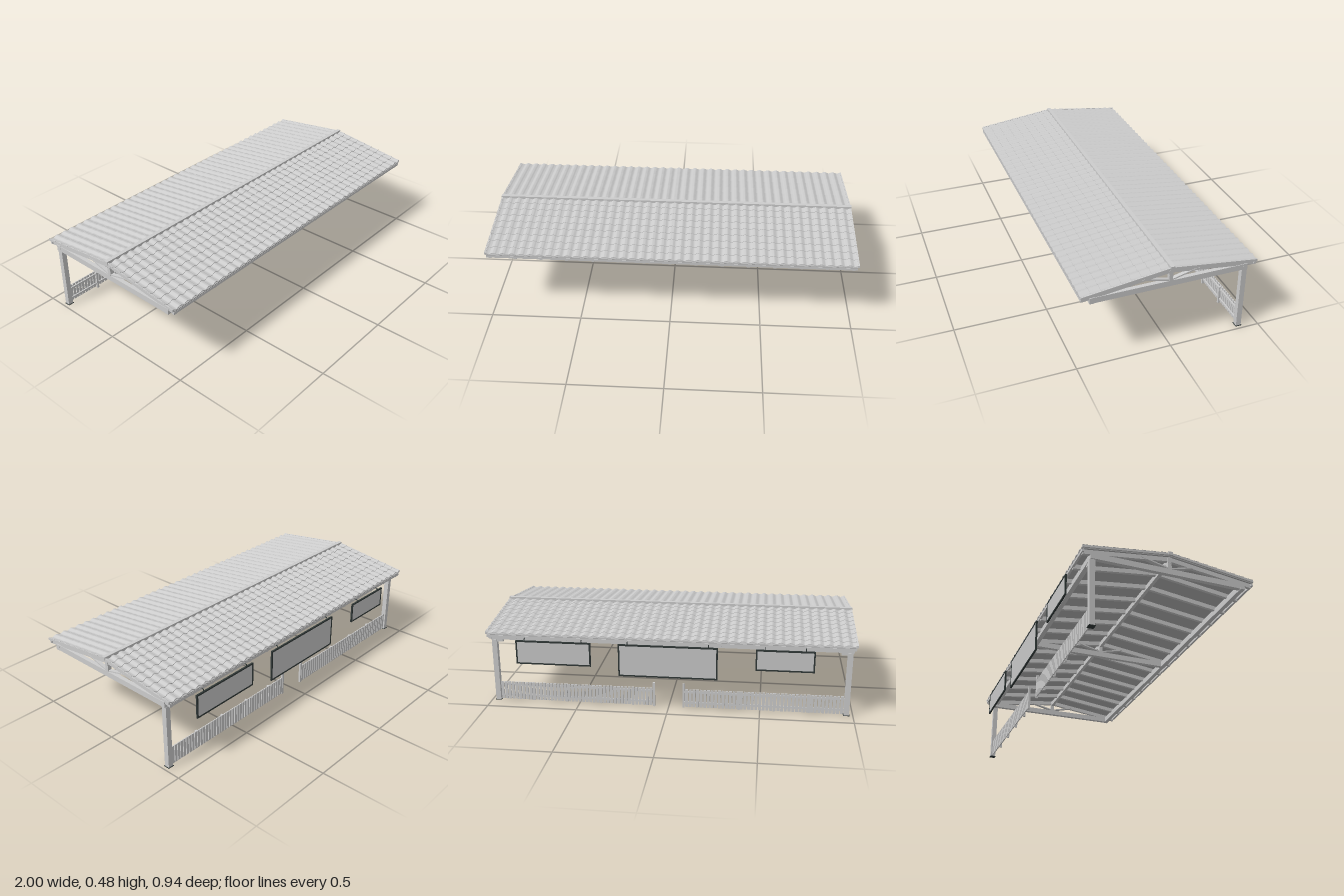
import * as THREE from 'three';
import { toCreasedNormals } from 'three/addons/utils/BufferGeometryUtils.js';

const mat = (name, color, side = THREE.FrontSide) => {
  const m = new THREE.MeshStandardMaterial({ color, side });
  m.name = name;
  return m;
};

const RIDGE_Z = 0.008, RIDGE_Y = 0.479, SLOPE = 0.13, RUN = 0.462;
const roofY = (d) => RIDGE_Y - SLOPE * d; // top of the roof at distance d from the ridge

export function createModel() {
  const root = new THREE.Group();
  root.name = 'roofedShelter';
  const timber = mat('timberGrey', 0xcccccc);
  const tile = mat('tileGrey', 0xcccccc, THREE.DoubleSide);
  const panel = mat('panelGrey', 0xc8c8c8);
  const sheet = mat('underlayGrey', 0xb4b4b4);
  const dark = mat('darkMetal', 0x303837);

  const group = (name, parent = root) => {
    const g = new THREE.Group();
    g.name = name;
    parent.add(g);
    return g;
  };
  // Box given by its limits on each axis
  const box = (parent, name, m, x0, x1, y0, y1, z0, z1) => {
    const mesh = new THREE.Mesh(new THREE.BoxGeometry(x1 - x0, y1 - y0, z1 - z0), m);
    mesh.position.set((x0 + x1) / 2, (y0 + y1) / 2, (z0 + z1) / 2);
    mesh.name = name;
    parent.add(mesh);
  };
  // Prism across x, cut from a side outline of [z, y] points
  const prism = (parent, name, m, pts, x, width) => {
    const shape = new THREE.Shape(pts.map(([z, y]) => new THREE.Vector2(-z, y)));
    const geo = new THREE.ExtrudeGeometry(shape, { depth: width, bevelEnabled: false });
    geo.rotateY(Math.PI / 2);
    geo.translate(x - width / 2, 0, 0);
    const mesh = new THREE.Mesh(geo, m);
    mesh.name = name;
    parent.add(mesh);
  };
  // Sloping layer on one side of the roof, between two depths below the roof top
  const layer = (parent, name, m, side, x, width, top, bottom, end = RUN) => {
    const z = RIDGE_Z + side * end;
    prism(parent, name, m, [
      [RIDGE_Z, roofY(0) - top], [z, roofY(end) - top],
      [z, roofY(end) - bottom], [RIDGE_Z, roofY(0) - bottom],
    ], x, width);
  };

  // Wavy tiles in overlapping courses
  const tiles = (side) => {
    const COURSES = 9, COLS = 40, SEG = 8, n = COLS * SEG;
    const pos = [], idx = [];
    for (let c = 0; c < COURSES; c++) {
      const d0 = (c / COURSES) * RUN, d1 = ((c + 1) / COURSES) * RUN;
      const base = pos.length / 3;
      // upper edge, raised lower edge, foot of the riser
      for (const [d, drop] of [[d0, 0.007], [d1, 0.004], [d1, 0.0085]]) {
        for (let i = 0; i <= n; i++) {
          const wave = 0.0045 * Math.cos((i / SEG) * Math.PI * 2);
          pos.push(-0.998 + (1.996 * i) / n, roofY(d) - drop + wave, RIDGE_Z + side * d);
        }
      }
      for (let r = 0; r < 2; r++) for (let i = 0; i < n; i++) {
        const a = base + r * (n + 1) + i, b = a + n + 1;
        if (side > 0) idx.push(a, b, b + 1, a, b + 1, a + 1);
        else idx.push(a, b + 1, b, a, a + 1, b + 1);
      }
    }
    const geo = new THREE.BufferGeometry();
    geo.setAttribute('position', new THREE.Float32BufferAttribute(pos, 3));
    geo.setIndex(idx);
    const mesh = new THREE.Mesh(toCreasedNormals(geo, 0.9), tile);
    mesh.name = side > 0 ? 'frontTiles' : 'backTiles';
    return mesh;
  };

  // Roof
  const roof = group('roof');
  for (const s of [1, -1]) {
    roof.add(tiles(s));
    layer(roof, 'underlay', sheet, s, 0, 1.98, 0.014, 0.018);
    for (const x of [-0.994, 0.994]) layer(roof, 'vergeBoard', timber, s, x, 0.008, 0.002, 0.014);
    for (let i = 0; i <= 14; i++) {
      layer(roof, 'rafter', timber, s, -0.973 + i * 0.139, 0.016, 0.018, 0.042, 0.456);
    }
    const z = RIDGE_Z + s * 0.456;
    box(roof, 'eavesBoard', timber, -0.99, 0.99, 0.386, 0.4, z - 0.006, z + 0.006);
  }
  box(roof, 'ridgeCap', timber, -1, 1, 0.464, 0.483, RIDGE_Z - 0.011, RIDGE_Z + 0.011);
  box(roof, 'ridgeBeam', timber, -0.985, 0.985, 0.425, 0.452, RIDGE_Z - 0.009, RIDGE_Z + 0.009);

  // Wall plates along the front and back
  const frame = group('frame');
  for (const z of [0.413, -0.397]) {
    box(frame, 'wallPlate', timber, -0.985, 0.985, 0.36, 0.393, z - 0.012, z + 0.012);
  }

  // Trusses with tie beam, king post and two struts
  for (const x of [-0.973, 0, 0.973]) {
    const truss = group('truss', frame);
    box(truss, 'tieBeam', timber, x - 0.011, x + 0.011, 0.361, 0.392, -0.397, 0.413);
    box(truss, 'kingPost', timber, x - 0.011, x + 0.011, 0.392, 0.464, RIDGE_Z - 0.01, RIDGE_Z + 0.01);
    for (const s of [1, -1]) {
      prism(truss, 'strut', timber, [
        [RIDGE_Z + s * 0.006, 0.392], [RIDGE_Z + s * 0.006, 0.399],
        [RIDGE_Z + s * 0.135, 0.432], [RIDGE_Z + s * 0.153, 0.429],
      ], x, 0.02);
    }
  }

  // Back posts, their bases and short brackets
  for (const s of [1, -1]) {
    const x = s * 0.965;
    const post = group(s > 0 ? 'leftPost' : 'rightPost', frame);
    box(post, 'shaft', timber, x - 0.014, x + 0.014, 0.003, 0.36, -0.411, -0.383);
    box(post, 'basePlate', dark, x - 0.017, x + 0.017, 0, 0.003, -0.414, -0.38);
    const b = s * 0.938;
    box(post, 'bracket', timber, b - 0.02, b + 0.02, 0.346, 0.36, -0.407, -0.387);
  }

  // Fence on each side of the opening
  for (const s of [1, -1]) {
    const fence = group(s > 0 ? 'leftFence' : 'rightFence');
    const bar = (name, a, b, y0, y1, z0, z1) =>
      box(fence, name, timber, Math.min(s * a, s * b), Math.max(s * a, s * b), y0, y1, z0, z1);
    for (const y of [0.022, 0.085]) bar('rail', 0.08, 0.955, y, y + 0.011, -0.398, -0.391);
    for (let i = 0; i < 43; i++) {
      const x = 0.099 + i * 0.02;
      bar('picket', x - 0.0075, x + 0.0075, 0.006, 0.109, -0.404, -0.398);
    }
    bar('gatePost', 0.076, 0.088, 0, 0.14, -0.404, -0.392);
    for (const x of [0.2, 0.385, 0.575, 0.765]) bar('fencePost', x - 0.006, x + 0.006, 0, 0.104, -0.398, -0.386);
  }

  // Blank hanging boards with dark frames: right edge, left edge, bottom
  for (const [x0, x1, y0] of [[-0.78, -0.47, 0.262], [-0.27, 0.265, 0.198], [0.415, 0.827, 0.245]]) {
    const sign = group('hangingBoard');
    const y1 = 0.379, t = 0.008, z0 = -0.469, z1 = -0.46;
    box(sign, 'panel', panel, x0 + t, x1 - t, y0 + t, y1 - t, z0 + 0.002, z1 - 0.002);
    box(sign, 'frameTop', dark, x0, x1, y1 - t, y1, z0, z1);
    box(sign, 'frameBottom', dark, x0, x1, y0, y0 + t, z0, z1);
    box(sign, 'frameSide', dark, x0, x0 + t, y0 + t, y1 - t, z0, z1);
    box(sign, 'frameSide', dark, x1 - t, x1, y0 + t, y1 - t, z0, z1);
    for (const x of [x0 + 0.05, x1 - 0.05]) {
      box(sign, 'hanger', dark, x - 0.002, x + 0.002, y1, 0.392, -0.467, -0.464);
      box(sign, 'hangerArm', dark, x - 0.002, x + 0.002, 0.389, 0.392, -0.464, -0.452);
    }
  }
  return root;
}
